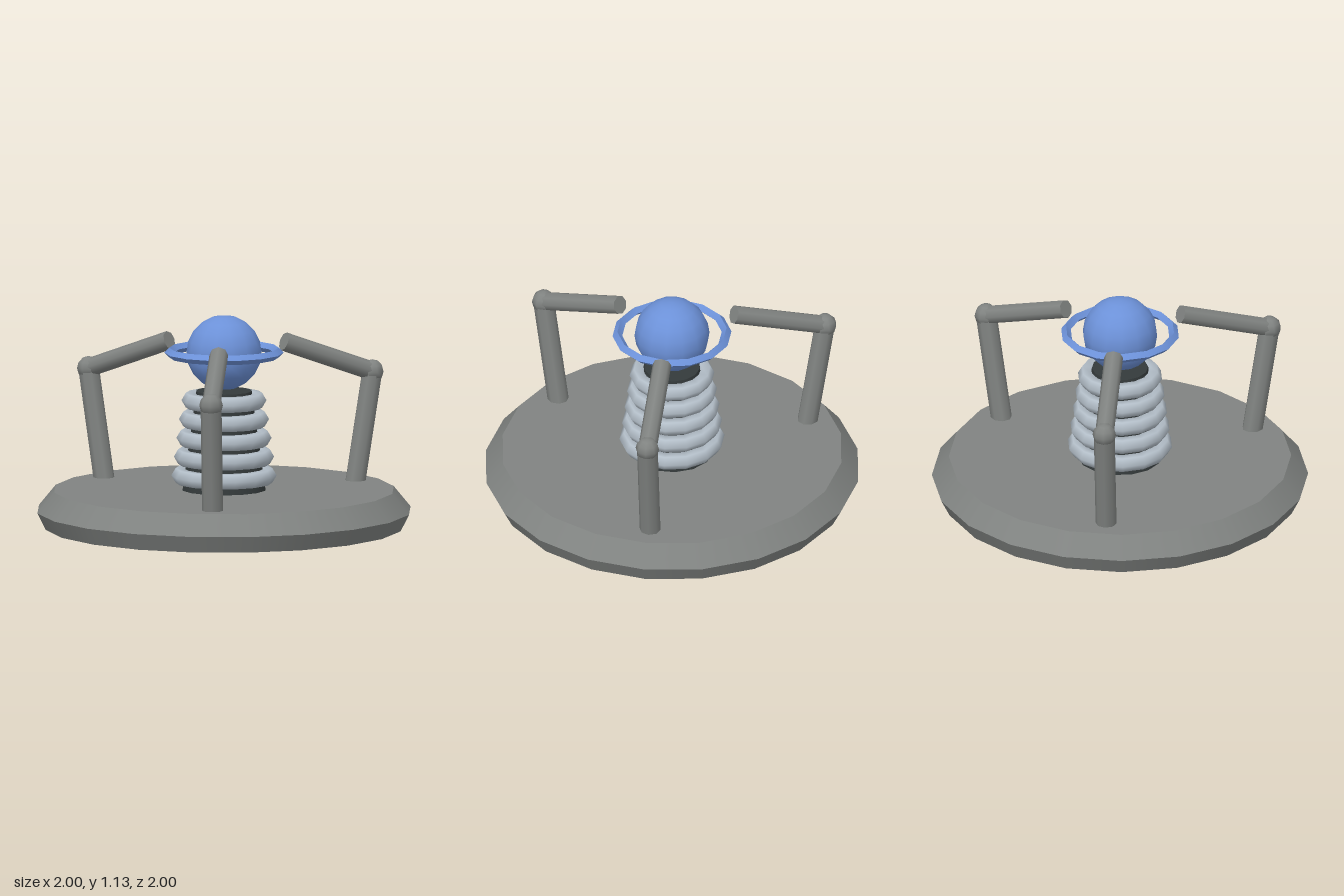
import * as THREE from 'three';
import { toCreasedNormals } from 'three/addons/utils/BufferGeometryUtils.js';

function mat(name, color) {
  const m = new THREE.MeshStandardMaterial({ color });
  m.name = name;
  return m;
}

function add(parent, name, geometry, material, x = 0, y = 0, z = 0) {
  const mesh = new THREE.Mesh(geometry, material);
  mesh.name = name;
  mesh.position.set(x, y, z);
  parent.add(mesh);
  return mesh;
}

// Horizontal torus lying in the xz plane
function ringGeometry(radius, tube, sides) {
  return new THREE.TorusGeometry(radius, tube, sides, 14).rotateX(Math.PI / 2);
}

// Capped rod between two points
function rod(parent, name, from, to, radius, material) {
  const dir = to.clone().sub(from);
  const mesh = add(parent, name, new THREE.CylinderGeometry(radius, radius, dir.length(), 8), material);
  mesh.position.copy(from).add(to).multiplyScalar(0.5);
  mesh.quaternion.setFromUnitVectors(new THREE.Vector3(0, 1, 0), dir.normalize());
}

export function createModel() {
  const model = new THREE.Group();
  model.name = 'energyDevice';
  const grey = mat('metalGrey', 0x808381);
  const dark = mat('darkMetal', 0x343a3b);
  const pale = mat('paleSteel', 0xb3bec8);
  const blue = mat('energyBlue', 0x6c91d8);

  // Base: flared lower half, bevelled upper half, dark underside
  add(model, 'baseLower', new THREE.CylinderGeometry(1, 0.955, 0.09, 20, 1, true), grey, 0, 0.045);
  add(model, 'baseUpper', new THREE.CylinderGeometry(0.91, 1, 0.11, 20, 1, true), grey, 0, 0.145);
  add(model, 'baseTop', new THREE.CircleGeometry(0.91, 20).rotateX(-Math.PI / 2), grey, 0, 0.2);
  add(model, 'baseUnderside', new THREE.CircleGeometry(0.955, 20).rotateX(Math.PI / 2), dark);

  // Tapered core wrapped in five coils
  add(model, 'core', new THREE.CylinderGeometry(0.15, 0.225, 0.53, 14), dark, 0, 0.465);
  for (let i = 0; i < 5; i++) {
    add(model, 'coil', ringGeometry(0.235 - i * 0.0135, 0.045, 6), pale, 0, 0.275 + i * 0.101);
  }

  // Floating orb and its thin ring
  add(model, 'orb', new THREE.SphereGeometry(0.2, 14, 10), blue, 0, 0.935);
  add(model, 'orbRing', toCreasedNormals(ringGeometry(0.291, 0.026, 4), 0.9), blue, 0, 0.935);

  // Three jointed arms reaching towards the orb
  const foot = new THREE.Vector3(0.77, 0.17, 0);
  const elbow = new THREE.Vector3(0.873, 0.78, 0);
  const tip = new THREE.Vector3(0.353, 0.972, 0);
  for (let i = 0; i < 3; i++) {
    const arm = new THREE.Group();
    arm.name = 'arm';
    arm.rotation.y = i * Math.PI * 2 / 3;
    rod(arm, 'lowerArm', foot, elbow, 0.056, grey);
    rod(arm, 'upperArm', elbow, tip, 0.05, grey);
    add(arm, 'elbow', new THREE.SphereGeometry(0.063, 8, 6), grey, elbow.x, elbow.y, 0);
    model.add(arm);
  }
  return model;
}
